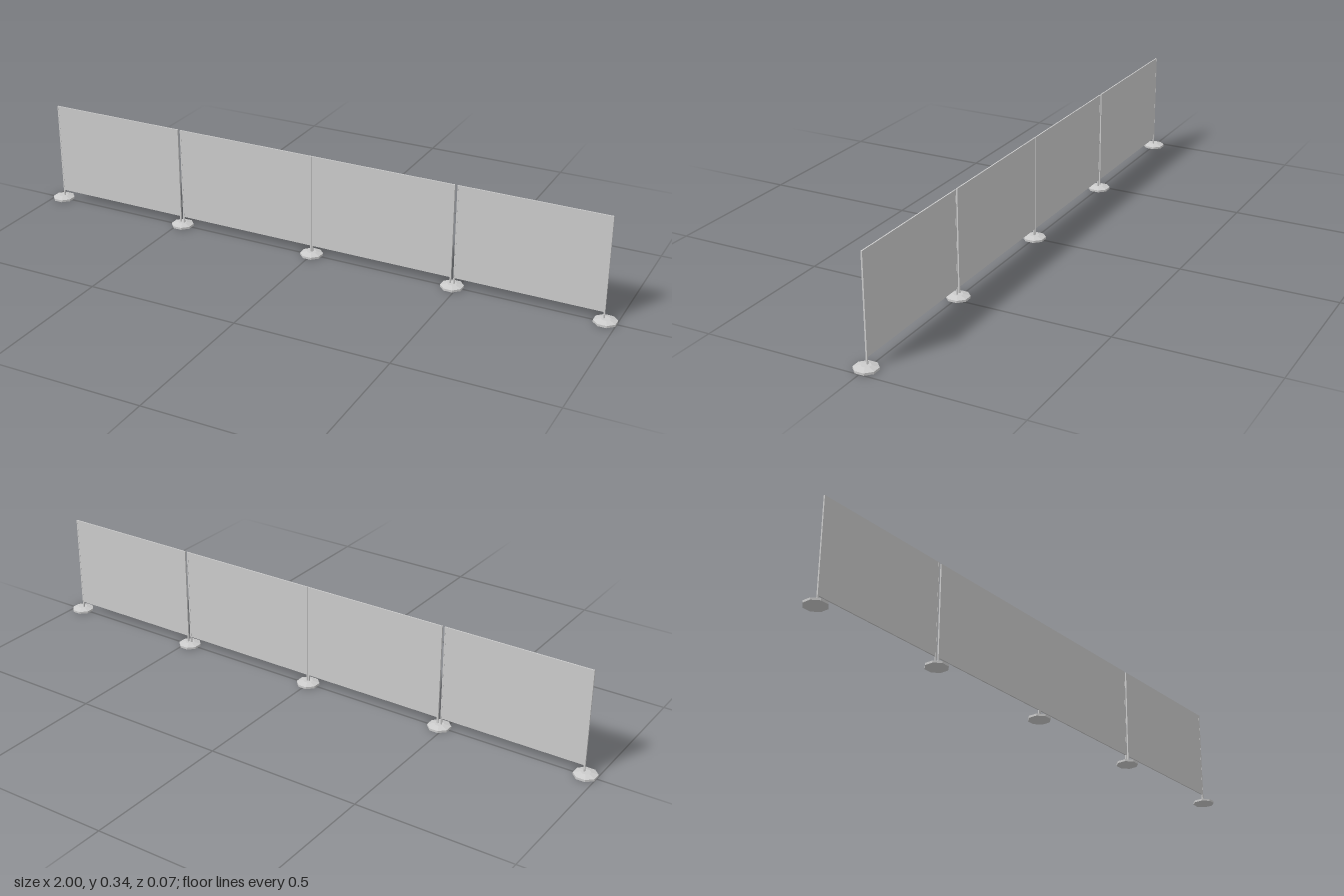
import * as THREE from 'three';

const PITCH = 0.483; // distance between bases
const TOP = 0.342, PANEL_BOTTOM = 0.033, BASE_TOP = 0.0127;
const POST = 0.0045;

export function createModel() {
  const model = new THREE.Group();
  const grey = new THREE.MeshStandardMaterial({ color: 0xcccccc, flatShading: true });

  const box = (name, x0, x1, y0, y1, depth) => {
    const mesh = new THREE.Mesh(new THREE.BoxGeometry(x1 - x0, y1 - y0, depth), grey);
    mesh.name = name;
    mesh.position.set((x0 + x1) / 2, (y0 + y1) / 2, 0);
    model.add(mesh);
  };

  // Octagonal feet with a flat side towards each axis and a bevelled top
  const toCorner = 1 / Math.cos(Math.PI / 8);
  const footProfile = [[0, 0], [0.034, 0], [0.034, 0.007], [0.014, BASE_TOP], [0, BASE_TOP]]
    .map(([r, y]) => new THREE.Vector2(r * toCorner, y));
  const footGeometry = new THREE.LatheGeometry(footProfile, 8, Math.PI / 8);
  for (let i = -2; i <= 2; i++) {
    const foot = new THREE.Mesh(footGeometry, grey);
    foot.name = 'foot';
    foot.position.x = i * PITCH;
    model.add(foot);
  }

  // Four panels, each held between two slim posts; the middle pair meet
  const spans = [[0.0003, 0.479], [0.487, 0.963]];
  for (const side of [-1, 1]) {
    for (const span of spans) {
      const [x0, x1] = span.map((x) => x * side).sort((a, b) => a - b);
      box('post', x0, x0 + POST, BASE_TOP - 0.002, TOP, 0.005);
      box('post', x1 - POST, x1, BASE_TOP - 0.002, TOP, 0.005);
      box('panel', x0 + POST, x1 - POST, PANEL_BOTTOM, TOP, 0.004);
    }
  }
  return model;
}
